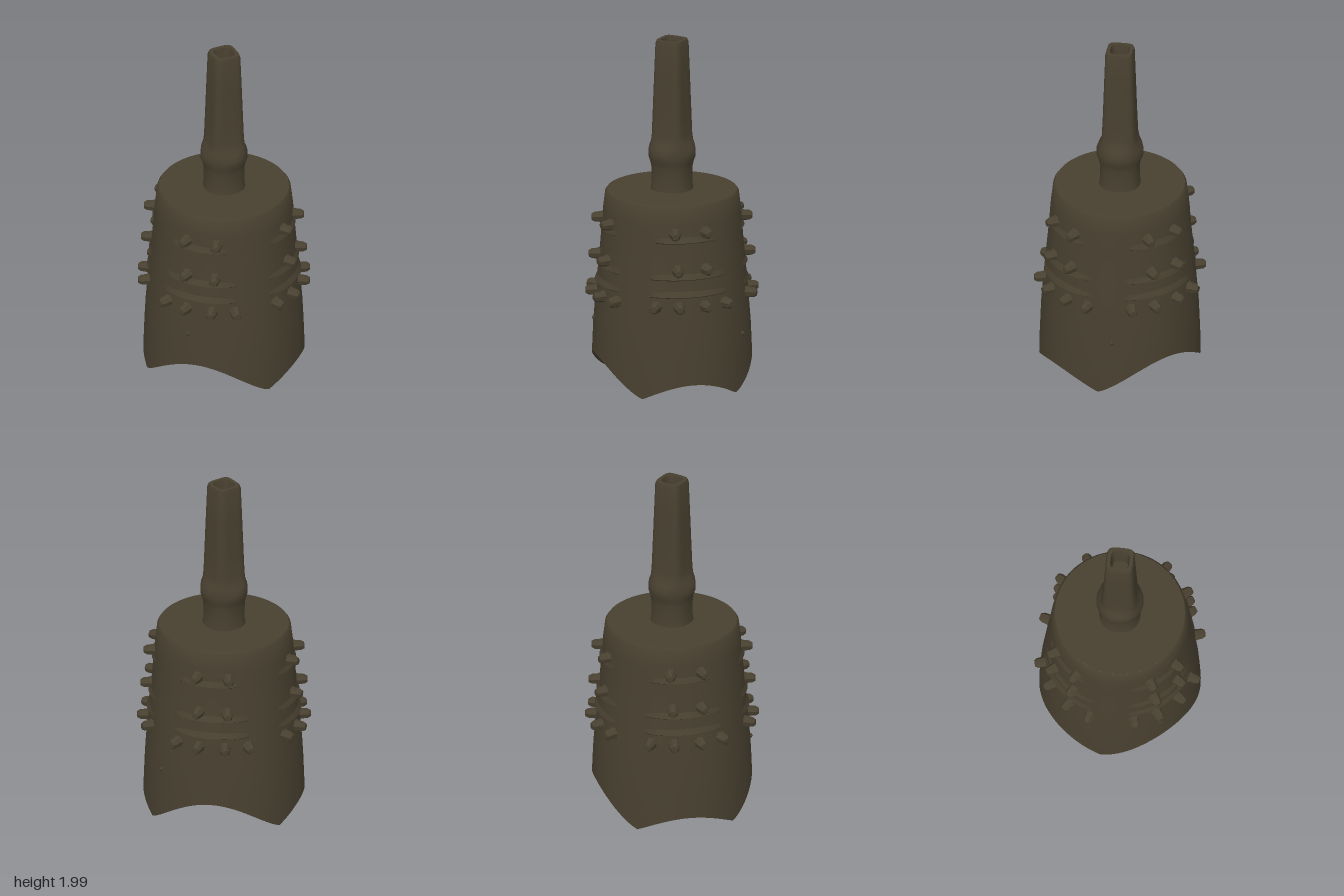
import * as THREE from 'three';
import { toCreasedNormals } from 'three/addons/utils/BufferGeometryUtils.js';

const rad = THREE.MathUtils.degToRad;
const lerp = THREE.MathUtils.lerp;

// piecewise-linear lookup in [[key, value], ...]
function sample(table, k) {
  for (let i = 1; i < table.length; i++) {
    const [k0, v0] = table[i - 1], [k1, v1] = table[i];
    if (k <= k1) return lerp(v0, v1, Math.max(0, (k - k0) / (k1 - k0)));
  }
  return table[table.length - 1][1];
}

// surface from rings: point(angle, ring) gives [radius, y]; angle runs from +z towards +x
function loft(rings, segments, point, from = 0, to = 360) {
  const pos = [], index = [], row = segments + 1;
  for (let j = 0; j < rings; j++) {
    for (let i = 0; i <= segments; i++) {
      const a = lerp(from, to, i / segments);
      const [r, y] = point(a, j);
      pos.push(r * Math.sin(rad(a)), y, r * Math.cos(rad(a)));
      if (j && i) {
        const d = j * row + i, c = d - 1, b = d - row, e = b - 1;
        index.push(e, b, d, e, d, c);
      }
    }
  }
  const g = new THREE.BufferGeometry();
  g.setAttribute('position', new THREE.Float32BufferAttribute(pos, 3));
  g.setIndex(index);
  return toCreasedNormals(g, 0.6);
}

// bell wall radius by height
const wall = [[0, 0.455], [0.1, 0.454], [0.35, 0.444], [0.6, 0.424], [0.85, 0.401], [1.05, 0.386], [1.11, 0.377]];
const wallRadius = y => sample(wall, y);

// scalloped rim: two low narrow arches and two high wide arches
function rimHeight(a) {
  const h = ((a % 180) + 180) % 180;
  if (h >= 8 && h <= 82) return 0.01 + 0.085 * Math.cos((h - 45) / 37 * Math.PI / 2);
  const t = (h < 8 ? h + 45 : h - 135) / 53;
  return 0.01 + 0.185 * Math.pow(Math.cos(t * Math.PI / 2), 1.25);
}

export function createModel() {
  const model = new THREE.Group();
  const bronze = new THREE.MeshStandardMaterial({ color: 0x484030 });
  bronze.name = 'darkBronze';
  const add = (geometry, name, parent = model) => {
    const mesh = new THREE.Mesh(geometry, bronze);
    mesh.name = name;
    parent.add(mesh);
    return mesh;
  };

  // hollow bell: inner ceiling, inner wall, rim, outer wall, top plate
  const n = 10, thick = 0.022;
  add(loft(2 * n + 4, 180, (a, j) => {
    if (j === 0) return [0, 1.08];
    if (j <= n + 1) {
      const y = lerp(1.08, rimHeight(a), (j - 1) / n);
      return [wallRadius(y) - thick, y];
    }
    if (j <= 2 * n + 2) {
      const y = lerp(rimHeight(a), 1.11, (j - n - 2) / n);
      return [wallRadius(y), y];
    }
    return [0.366, 1.125];
  }), 'bellBody');
  add(loft(2, 90, (a, j) => [j ? 0 : 0.366, j ? 1.132 : 1.125]), 'bellTop');

  // handle: [half width, height, squareness], round neck and collar, squared hollow shaft
  const handle = [
    [0.118, 1.12, 0.1], [0.112, 1.16, 0.1], [0.113, 1.26, 0.1], [0.121, 1.29, 0.05],
    [0.133, 1.32, 0], [0.133, 1.35, 0], [0.122, 1.38, 0.2], [0.106, 1.41, 0.5],
    [0.098, 1.45, 0.8], [0.092, 1.58, 1], [0.085, 1.8, 1], [0.079, 1.98, 1],
    [0.073, 2.0, 1], [0.054, 2.0, 0.6], [0.048, 1.97, 0.5], [0.044, 1.86, 0.5], [0, 1.86, 0.5],
  ];
  add(loft(handle.length, 64, (a, j) => {
    const [w, y, sq] = handle[j];
    const p = 2 + 2.6 * sq;
    const s = Math.abs(Math.sin(rad(a))), c = Math.abs(Math.cos(rad(a)));
    return [w / Math.pow(s ** p + c ** p, 1 / p), y];
  }), 'handle');

  // faceted boss pointing along +z
  const boss = toCreasedNormals(new THREE.LatheGeometry(
    [[0.04, -0.012], [0.031, 0.012], [0.029, 0.042], [0.019, 0.06], [0, 0.062]]
      .map(([r, y]) => new THREE.Vector2(r, y)), 7).rotateX(Math.PI / 2), 0.45);
  const rows = [
    { y: 0.965, angles: [32, 58] },
    { y: 0.755, angles: [34, 57] },
    { y: 0.545, angles: [17, 35, 55, 73] },
  ];

  // ledges: shallow slope above, undercut below, fading at the ends
  const ledges = [[0.915, 14, 54], [0.705, 10, 66], [0.605, 10, 66]];

  // four decorated panels, one on each diagonal
  for (let q = 0; q < 4; q++) {
    const panel = new THREE.Group();
    panel.name = 'panel' + (q + 1);
    panel.rotation.y = q * Math.PI / 2;
    model.add(panel);
    for (const { y, angles } of rows) {
      for (const a of angles) {
        const m = add(boss, 'boss', panel), t = rad(a), r = wallRadius(y);
        m.position.set(r * Math.sin(t), y, r * Math.cos(t));
        m.rotation.y = t;
      }
    }
    for (const [y, start, span] of ledges) {
      add(loft(3, 24, (a, j) => {
        const fade = Math.pow(Math.max(0, Math.sin((a - start) / span * Math.PI)), 0.5);
        const h = y + [-0.008, 0, 0.04][j];
        return [wallRadius(h) + (j === 1 ? 0.015 * fade - 0.002 : -0.003), h];
      }, start, start + span), 'ledge', panel);
    }
  }

  // small casting flaws on the wall
  for (const [a, y] of [[92, 0.335], [-53, 0.385]]) {
    const r = wallRadius(y), flaw = add(new THREE.IcosahedronGeometry(0.015, 0), 'castingFlaw');
    flaw.position.set(r * Math.sin(rad(a)), y, r * Math.cos(rad(a)));
  }
  return model;
}
